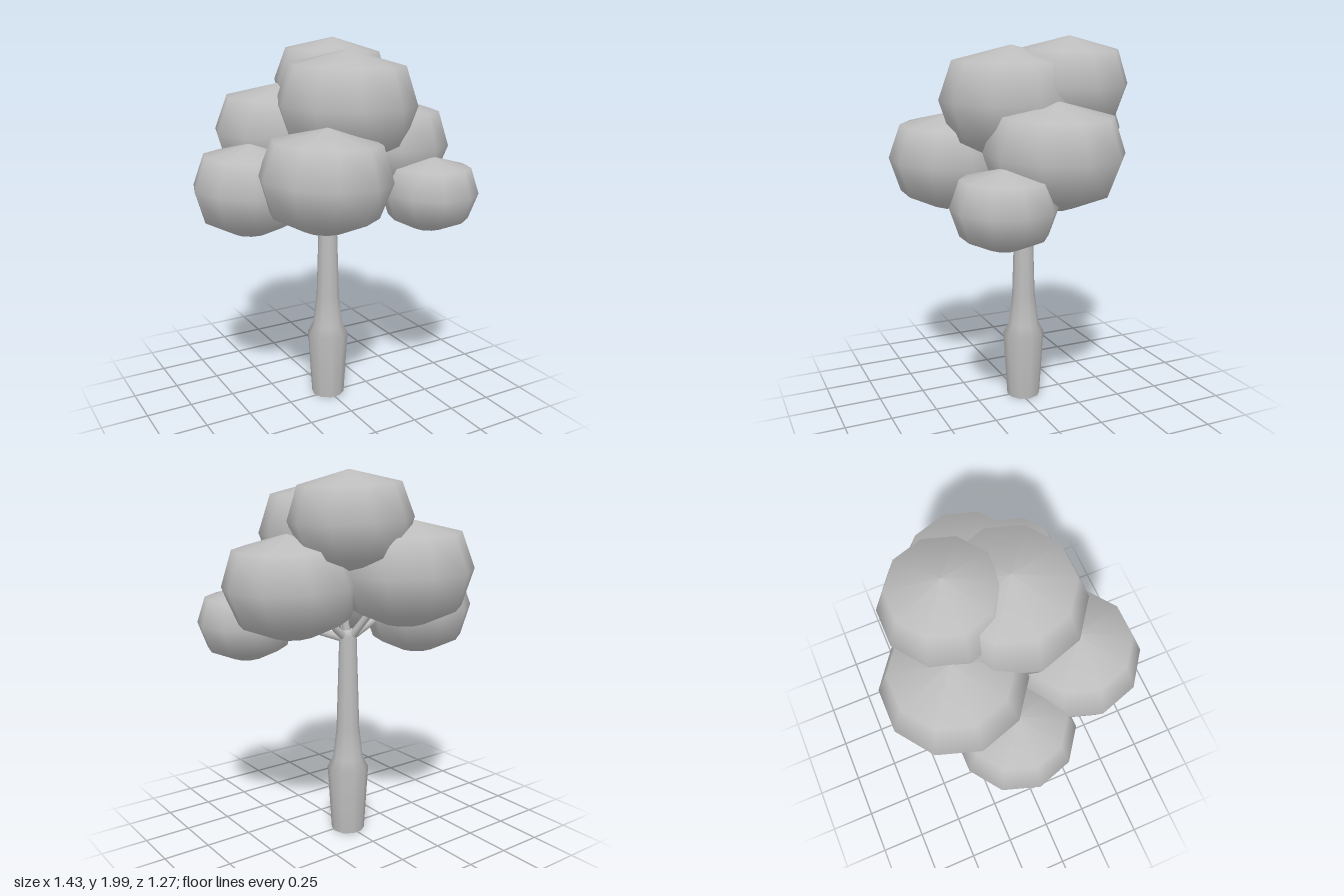
import * as THREE from 'three';

export function createModel() {
  const tree = new THREE.Group();
  tree.name = 'tree';
  const clay = new THREE.MeshStandardMaterial({ color: 0xbcbcbc, side: THREE.DoubleSide });
  clay.name = 'plain grey';

  // Surface of revolution with a corner on the x axis, profile from bottom to top
  const turned = (profile) => new THREE.LatheGeometry(
    profile.map(([r, y]) => new THREE.Vector2(r, y)), 10, Math.PI / 2);

  const add = (name, geometry) => {
    const mesh = new THREE.Mesh(geometry, clay);
    mesh.name = name;
    tree.add(mesh);
    return mesh;
  };

  // Trunk with a thick foot, open underneath
  add('trunk', turned([
    [0.092, 0], [0.114, 0.37], [0.083, 0.43], [0.063, 0.6],
    [0.047, 1.12], [0.03, 1.15], [0, 1.155],
  ])).position.set(0.003, 0, -0.022);

  // Branches reaching from the trunk top into the foliage
  const branch = (from, to) => {
    const a = new THREE.Vector3(...from), b = new THREE.Vector3(...to);
    const dir = b.clone().sub(a);
    const mesh = add('branch', new THREE.CylinderGeometry(0.018, 0.022, dir.length(), 8));
    mesh.position.copy(a).add(b).multiplyScalar(0.5);
    mesh.quaternion.setFromUnitVectors(new THREE.Vector3(0, 1, 0), dir.normalize());
  };
  branch([0.01, 1.1, -0.02], [0.22, 1.29, -0.03]);
  branch([0, 1.1, -0.02], [-0.2, 1.22, -0.06]);
  branch([0, 1.1, -0.03], [-0.08, 1.32, -0.18]);
  branch([0, 1.1, -0.02], [0.04, 1.48, 0.04]);
  branch([0, 1.1, -0.02], [-0.09, 1.16, 0.16]);
  branch([0.01, 1.1, -0.01], [0.28, 1.2, 0.18]);

  // Foliage: one rounded crown, open underneath, repeated at different sizes
  const crown = turned([[0.31, -0.78], [0.82, -0.54], [1, 0], [0.815, 0.54], [0, 0.75]]);
  const clumps = [
    // x, y, z, radius, height scale, sideways tilt
    [0.057, 1.67, 0.075, 0.37, 1, -0.02],
    [0.13, 1.755, -0.215, 0.314, 1.01, -0.045],
    [0.358, 1.432, -0.027, 0.355, 0.96, -0.05],
    [-0.15, 1.493, -0.3, 0.357, 0.98, -0.03],
    [-0.42, 1.25, -0.095, 0.3, 1.03, -0.03],
    [-0.197, 1.352, 0.313, 0.335, 0.99, -0.05],
    [0.452, 1.205, 0.282, 0.26, 0.97, -0.025],
  ];
  for (const [x, y, z, r, h, tilt] of clumps) {
    const mesh = add('foliage', crown);
    mesh.position.set(x, y, z);
    mesh.scale.set(r, r * h, r);
    mesh.rotation.z = tilt;
  }
  return tree;
}
